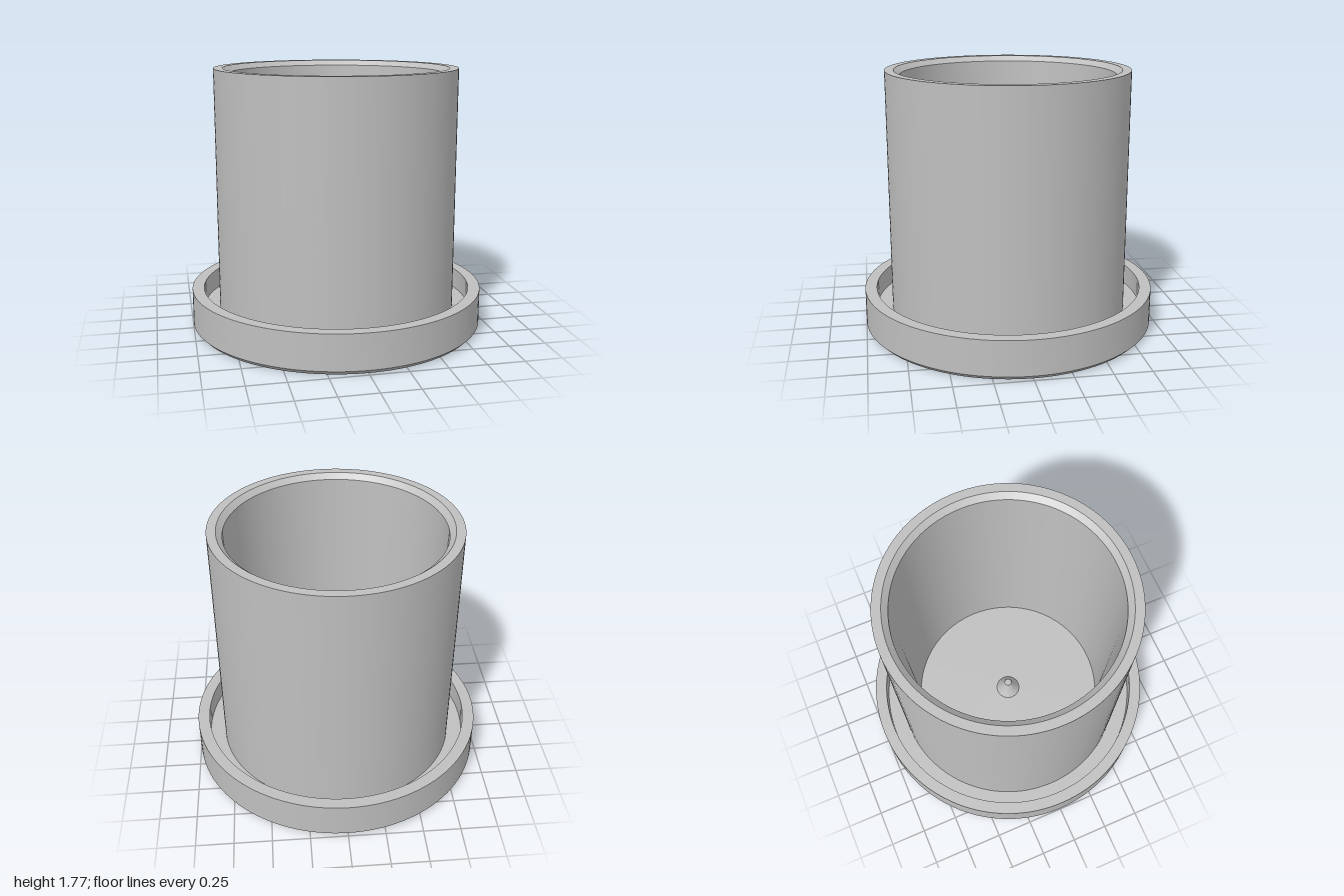
import * as THREE from 'three';
import { toCreasedNormals } from 'three/addons/utils/BufferGeometryUtils.js';

const grey = new THREE.MeshStandardMaterial({ color: 0xbfbfbf });
grey.name = 'grey';

// Revolves a profile (outside upwards, inside downwards) keeping its edges sharp
function turned(name, profile, segments) {
  const points = profile.map(([r, y]) => new THREE.Vector2(r, y));
  const geometry = toCreasedNormals(new THREE.LatheGeometry(points, segments), 0.4);
  const mesh = new THREE.Mesh(geometry, grey);
  mesh.name = name;
  return mesh;
}

export function createModel() {
  const group = new THREE.Group();
  group.name = 'cupOnTray';
  const floor = 0.13;

  // Shallow tray with a chamfered foot and a raised lip
  group.add(turned('tray', [
    [0, 0], [0.97, 0], [1, 0.03], [1, 0.27], [0.92, 0.27], [0.92, floor], [0, floor],
  ], 128));

  // Tall sleeve sunk into the tray, bevelled inside the rim and tapering inwards
  group.add(turned('sleeve', [
    [0.67, 0.1], [0.815, 0.1], [0.815, 1.77], [0.755, 1.77], [0.717, 1.735], [0.67, 0.1],
  ], 128));

  // Small stepped cone in the middle of the floor
  group.add(turned('centrePeg', [
    [0.085, floor - 0.01], [0.085, floor], [0.05, floor + 0.05], [0.025, floor + 0.12], [0, floor + 0.12],
  ], 48));

  return group;
}
